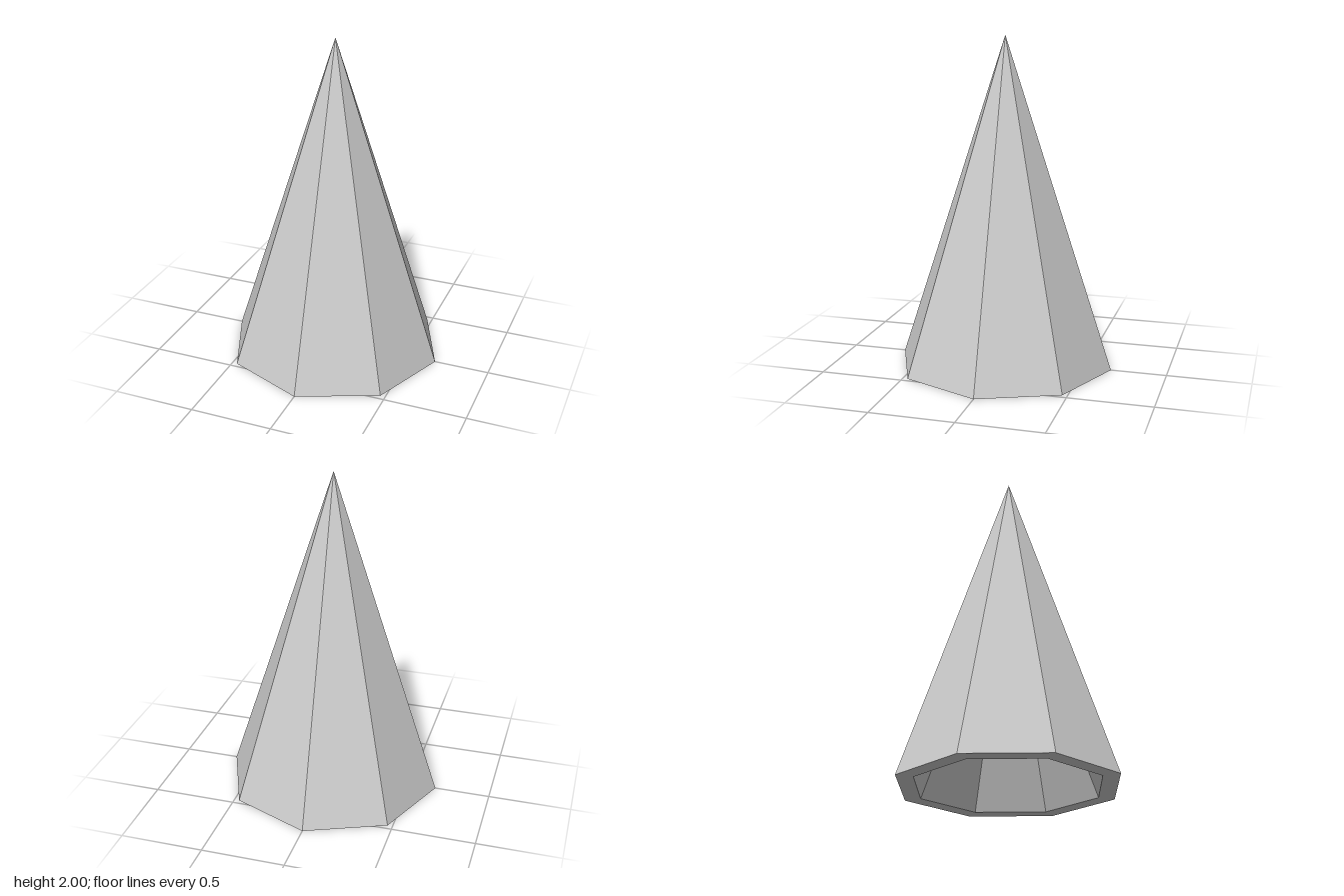
import * as THREE from 'three';

const SIDES = 8;
const HEIGHT = 2;
const RADIUS = 0.664;
const HOLLOW_HEIGHT = 1.42;
const HOLLOW_RADIUS = 0.56;

export function createModel() {
  const group = new THREE.Group();
  group.name = 'hollowCone';

  // One closed wall: down the hollow, across the rim, up the outside
  const profile = [
    new THREE.Vector2(0, HOLLOW_HEIGHT),
    new THREE.Vector2(HOLLOW_RADIUS, 0),
    new THREE.Vector2(RADIUS, 0),
    new THREE.Vector2(0, HEIGHT),
  ];
  const shell = new THREE.Mesh(
    new THREE.LatheGeometry(profile, SIDES),
    new THREE.MeshStandardMaterial({ color: 0xcccccc, flatShading: true })
  );
  shell.name = 'coneShell';
  group.add(shell);

  return group;
}
